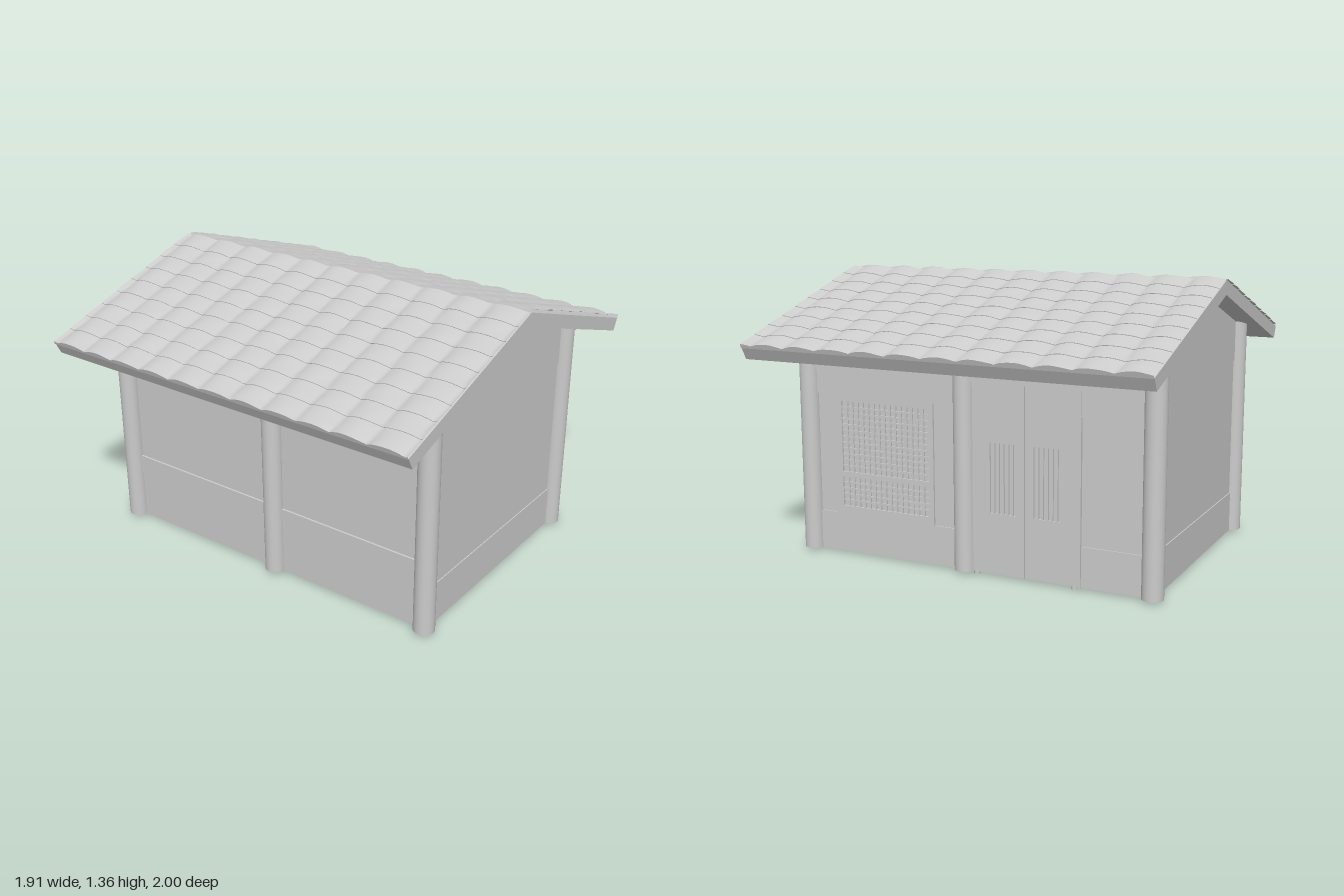
import * as THREE from 'three';
import { toCreasedNormals } from 'three/addons/utils/BufferGeometryUtils.js';

const material = new THREE.MeshStandardMaterial({ color: 0xcccccc });
const thin = new THREE.MeshStandardMaterial({ color: 0xcccccc, side: THREE.DoubleSide });

function add(parent, name, geometry, mat = material) {
  const mesh = new THREE.Mesh(geometry, mat);
  mesh.name = name;
  parent.add(mesh);
  return mesh;
}

// Box given by its limits on each axis
function block(parent, name, x0, x1, y0, y1, z0, z1) {
  const mesh = add(parent, name, new THREE.BoxGeometry(x1 - x0, y1 - y0, z1 - z0));
  mesh.position.set((x0 + x1) / 2, (y0 + y1) / 2, (z0 + z1) / 2);
  return mesh;
}

// Cross-section in x and y, centred along z
function prism(points, length) {
  const shape = new THREE.Shape(points.map(([x, y]) => new THREE.Vector2(x, y)));
  const g = new THREE.ExtrudeGeometry(shape, { depth: length, bevelEnabled: false });
  return g.translate(0, 0, -length / 2);
}

// Panel facing +x with rectangular openings; rectangles are [z0, z1, y0, y1]
function sidePanel(parent, name, x0, x1, rect, holes) {
  const corners = ([z0, z1, y0, y1]) => [[-z1, y0], [-z0, y0], [-z0, y1], [-z1, y1]]
    .map(([a, b]) => new THREE.Vector2(a, b));
  const shape = new THREE.Shape(corners(rect));
  holes.forEach((h) => shape.holes.push(new THREE.Path(corners(h).reverse())));
  const g = new THREE.ExtrudeGeometry(shape, { depth: x1 - x0, bevelEnabled: false });
  g.rotateY(Math.PI / 2).translate(x0, 0, 0);
  return add(parent, name, g);
}

// Wavy, stepped tile sheet for the +x slope, with a valley at z = valley
function tileSheet(valley) {
  const rows = 9, steps = 4, nv = 176;
  const slope = []; // [position down the slope, lift]
  for (let r = 0; r < rows; r++) {
    for (let s = 0; s <= steps; s++) slope.push([(r + s / steps) / rows, 0.003 * s / steps]);
  }
  slope.unshift([0, null]);
  slope.push([1, null]);
  const nu = slope.length - 1;
  const g = new THREE.PlaneGeometry(1, 1, nv, nu);
  const p = g.attributes.position;
  for (let i = 0; i <= nu; i++) {
    for (let j = 0; j <= nv; j++) {
      const [u, lift] = slope[i];
      const z = 1 - 2 * j / nv;
      const x = 0.008 + u * 0.941;
      const row = Math.floor(i / (steps + 1));
      const zw = z + 0.004 * Math.sin(row * 2.3 + z * 5);
      const w = (((zw - valley) / 0.178) % 1 + 1) % 1;
      let h = -0.004;
      if (lift !== null) {
        h = 0.003 + lift + 0.015 * Math.pow(Math.sin(Math.PI * Math.pow(w, 1.25)), 0.7)
          + 0.0015 * Math.sin(z * 37 + row * 1.9) * Math.sin(x * 41 + z * 13);
      }
      p.setXYZ(i * (nv + 1) + j, x + h * 0.31, 1.347 - 0.325 * x + h * 0.95, z);
    }
  }
  return toCreasedNormals(g, 0.7);
}

export function createModel() {
  const house = new THREE.Group();
  house.name = 'house';

  // Solid core with gable ends and closed eaves
  add(house, 'wallCore', prism([
    [-0.6, 0.01], [0.59, 0.01], [0.59, 1.02], [0.79, 1.02],
    [0, 1.285], [-0.79, 1.02], [-0.6, 1.02],
  ], 1.774));

  // Roof slab and tiles
  add(house, 'roofSlab', prism([
    [-0.915, 0.98], [0, 1.28], [0.915, 0.98], [0.945, 1.038], [0, 1.348], [-0.945, 1.038],
  ], 2));
  add(house, 'leftRoofTiles', tileSheet(0.05), thin);
  add(house, 'rightRoofTiles', tileSheet(0.08), thin).rotation.y = Math.PI;

  // Posts
  for (const x of [-0.605, 0.588]) {
    for (const z of [-0.885, 0.037, 0.885]) {
      const post = add(house, 'post', new THREE.CylinderGeometry(0.05, 0.05, 1.09, 24));
      post.position.set(x, 0.555, z);
    }
  }

  // End walls: base board and gable panel stand slightly proud of the middle panel
  for (const s of [-1, 1]) {
    const end = new THREE.Group();
    end.name = s > 0 ? 'frontWall' : 'backWall';
    house.add(end);
    block(end, 'baseBoard', -0.59, 0.58, 0.01, 0.21, -0.006, 0.006);
    add(end, 'gablePanel', prism([
      [-0.59, 0.9], [0.58, 0.9], [0.58, 1.09], [0, 1.28], [-0.59, 1.09],
    ], 0.012));
    end.position.z = s * 0.886;
  }

  // Right-hand plain wall: sill board, rail and top beam in each bay
  for (const [z0, z1] of [[-0.87, 0.03], [0.04, 0.87]]) {
    block(house, 'baseBoard', -0.605, -0.55, 0.01, 0.25, z0, z1);
    block(house, 'rail', -0.61, -0.55, 0.25, 0.35, z0, z1);
    block(house, 'topBeam', -0.615, -0.55, 0.905, 1.06, z0, z1);
  }

  // Window bay
  const windowBay = new THREE.Group();
  windowBay.name = 'windowBay';
  house.add(windowBay);
  block(windowBay, 'topBeam', 0.55, 0.608, 0.91, 1.06, 0.05, 0.87);
  block(windowBay, 'lintel', 0.55, 0.6, 0.785, 0.91, 0.05, 0.87);
  block(windowBay, 'baseBoard', 0.55, 0.595, 0.01, 0.2, 0.05, 0.87);
  const openings = [[0.22, 0.7, 0.24, 0.385], [0.22, 0.7, 0.41, 0.755]];
  sidePanel(windowBay, 'windowFrame', 0.57, 0.6, [0.195, 0.735, 0.2, 0.785], openings);
  for (const [z0, z1, y0, y1] of openings) {
    for (let i = 1; i < 16; i++) {
      const z = z0 + (z1 - z0) * i / 16;
      block(windowBay, 'latticeUpright', 0.58, 0.598, y0, y1, z - 0.004, z + 0.004);
    }
    const n = Math.round((y1 - y0) / 0.029);
    for (let i = 1; i < n; i++) {
      const y = y0 + (y1 - y0) * i / n;
      block(windowBay, 'latticeBar', 0.58, 0.597, y - 0.004, y + 0.004, z0, z1);
    }
  }

  // Door bay
  const doorBay = new THREE.Group();
  doorBay.name = 'doorBay';
  house.add(doorBay);
  block(doorBay, 'topBeam', 0.55, 0.608, 0.9, 1.06, -0.87, 0.03);
  for (const [z0, z1, s0] of [[-0.273, -0.01, -0.23], [-0.53, -0.277, -0.45]]) {
    const slits = [];
    for (let i = 0; i < 6; i++) {
      const z = s0 + i * 0.0235;
      slits.push([z, z + 0.012, 0.3, 0.63]);
    }
    sidePanel(doorBay, 'doorLeaf', 0.57, 0.6, [z0, z1, 0.012, 0.9], slits);
  }
  for (const z of [-0.025, -0.515]) {
    const pivot = add(doorBay, 'doorPivot', new THREE.CylinderGeometry(0.014, 0.014, 0.02, 12));
    pivot.position.set(0.588, 0.01, z);
  }
  block(doorBay, 'doorJamb', 0.55, 0.604, 0.01, 0.9, -0.55, -0.53);
  block(doorBay, 'lintel', 0.55, 0.6, 0.785, 0.9, -0.87, -0.55);
  block(doorBay, 'baseBoard', 0.55, 0.595, 0.01, 0.2, -0.87, -0.55);

  return house;
}
